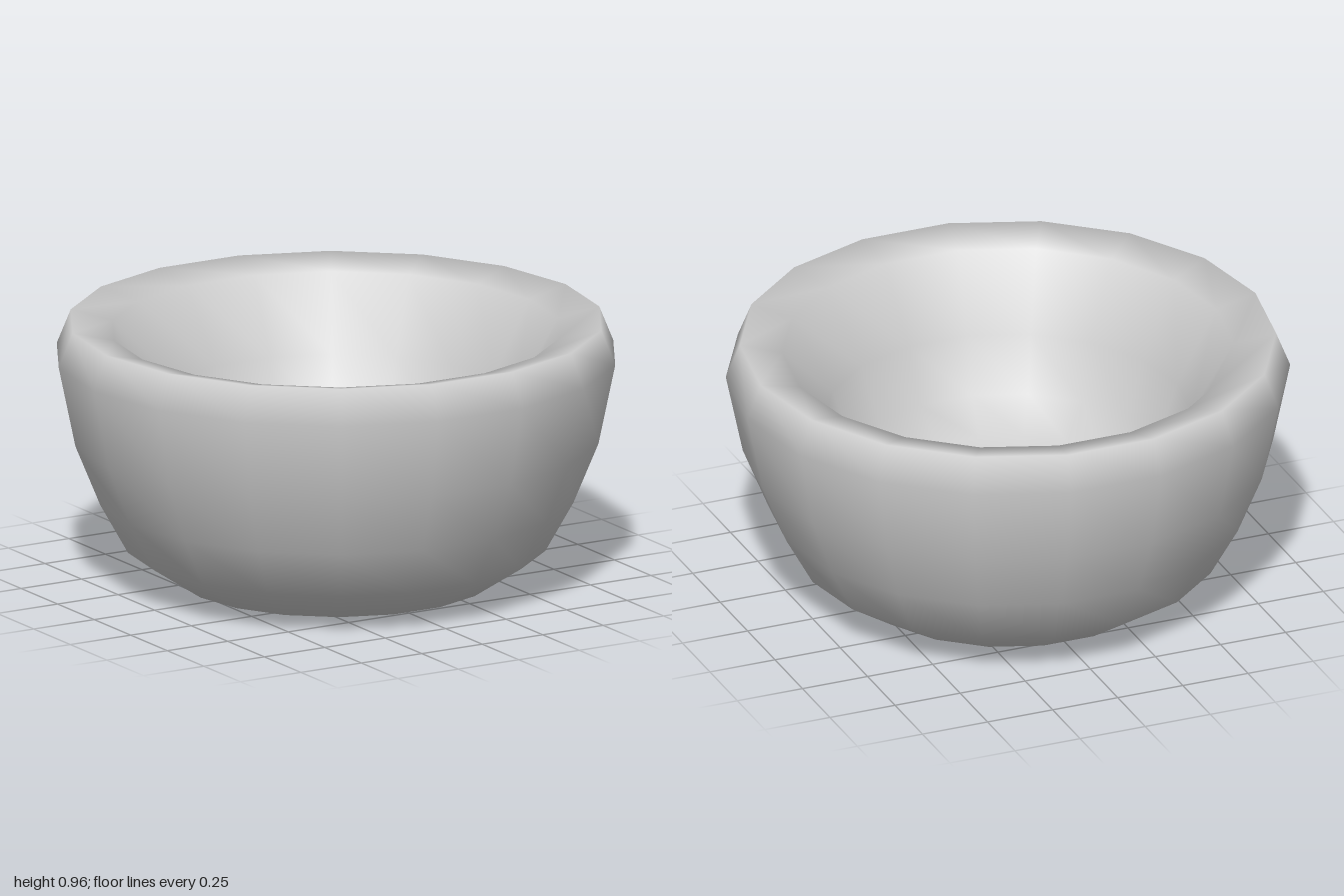
import * as THREE from 'three';

const SIDES = 18;

export function createModel() {
  const group = new THREE.Group();
  group.name = 'bowl';

  // One closed profile: underside, outer wall, sloping rim, hollow, inner floor
  const profile = [
    [0, 0], [0.37, 0.003], [0.56, 0.02],
    [0.75, 0.145], [0.85, 0.325], [0.94, 0.545], [1, 0.835],
    [0.95, 0.96], [0.8, 0.925],
    [0.65, 0.66], [0.575, 0.46], [0.46, 0.35], [0.24, 0.29], [0, 0.28],
  ].map(([r, y]) => new THREE.Vector2(r, y));

  // Start a quarter turn round so that corners land on the x axis
  const geometry = new THREE.LatheGeometry(profile, SIDES, Math.PI / 2);
  const bowl = new THREE.Mesh(geometry, new THREE.MeshStandardMaterial({ color: 0xcccccc }));
  bowl.name = 'bowlBody';
  group.add(bowl);
  return group;
}
